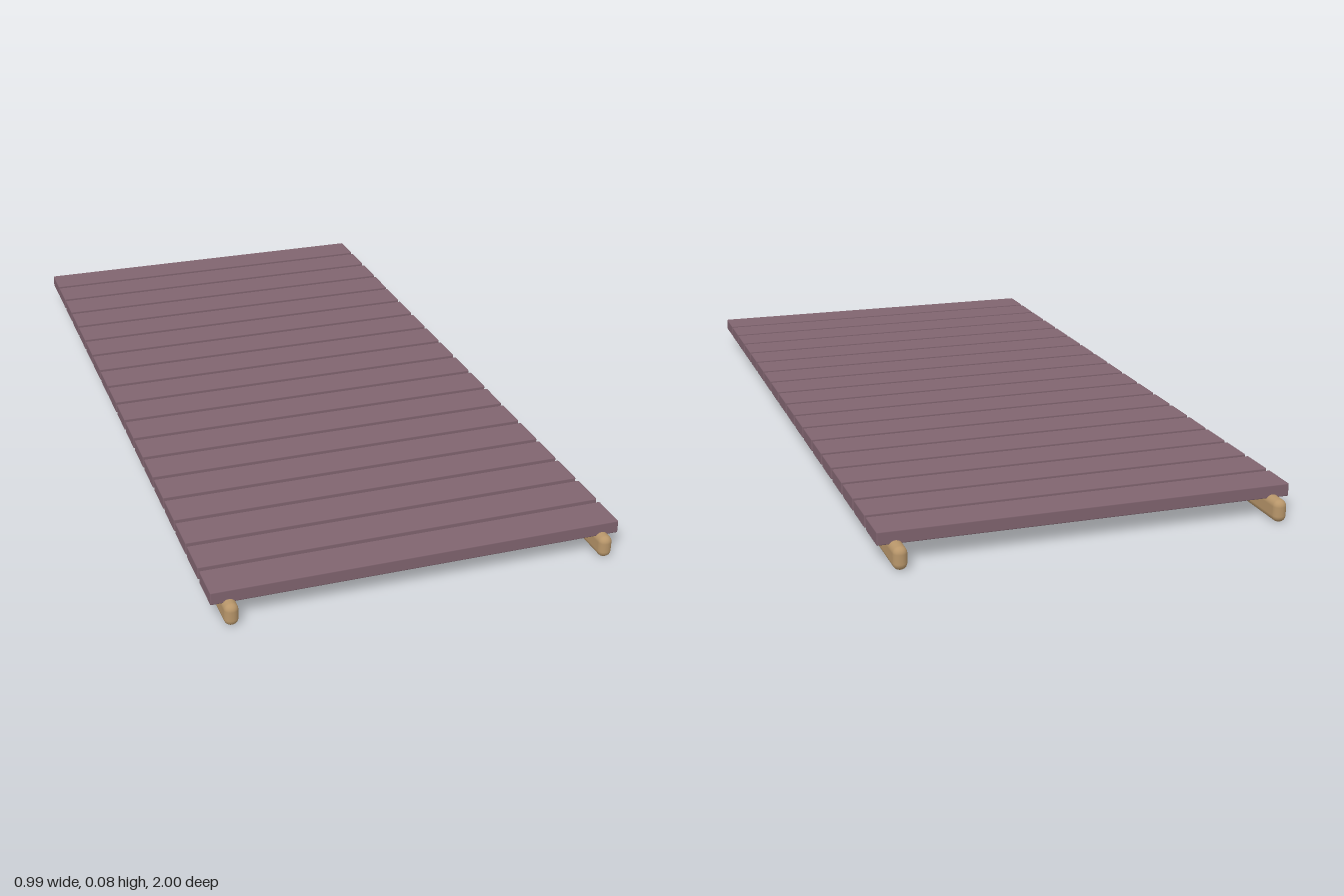
import * as THREE from 'three';
import { RoundedBoxGeometry } from 'three/addons/geometries/RoundedBoxGeometry.js';

const PLANKS = 18;
const PITCH = 0.1075;
const FIRST_Z = -0.905;

export function createModel() {
  const model = new THREE.Group();
  model.name = 'plankWalkway';

  const plankMaterial = new THREE.MeshStandardMaterial({ color: 0x80646f });
  const railMaterial = new THREE.MeshStandardMaterial({ color: 0xb8966a });

  // Two long rounded rails carrying the deck
  const railGeometry = new RoundedBoxGeometry(0.033, 0.054, 2, 3, 0.016);
  for (const side of [1, -1]) {
    const rail = new THREE.Mesh(railGeometry, railMaterial);
    rail.name = side > 0 ? 'leftRail' : 'rightRail';
    rail.position.set(side * 0.452, 0.027, 0);
    model.add(rail);
  }

  // Evenly spaced cross planks, slightly eased at the edges
  const deck = new THREE.Group();
  deck.name = 'deck';
  const plankGeometry = new RoundedBoxGeometry(0.988, 0.032, 0.094, 1, 0.003);
  for (let i = 0; i < PLANKS; i++) {
    const plank = new THREE.Mesh(plankGeometry, plankMaterial);
    plank.name = `plank${i + 1}`;
    plank.position.set(0, 0.061, FIRST_Z + i * PITCH);
    deck.add(plank);
  }
  model.add(deck);

  return model;
}
